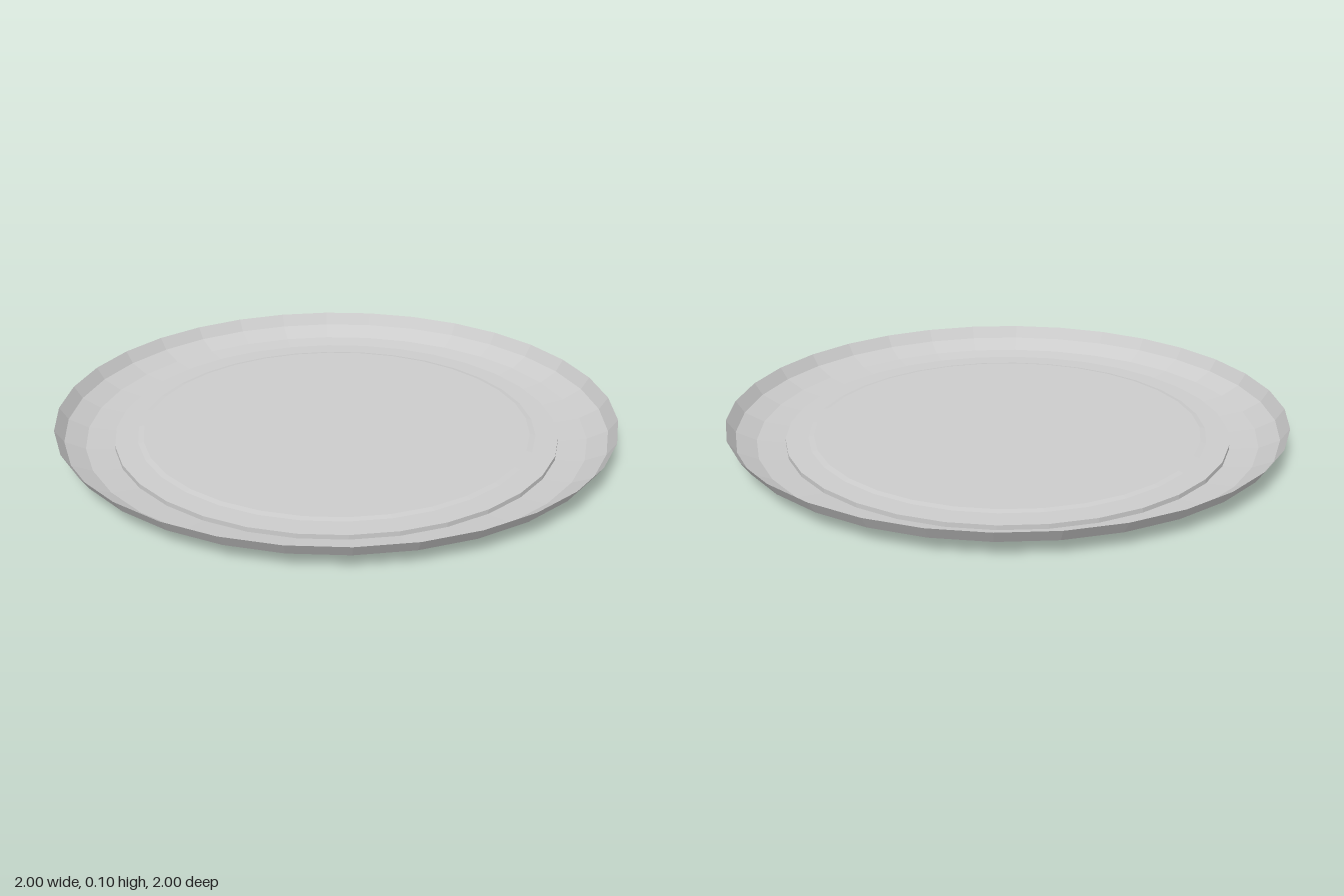
import * as THREE from 'three';

const SEGMENTS = 32;

// Turned part from [radius, height] pairs, listed from bottom to top
function turned(name, profile, side) {
  const points = profile.map(([r, y]) => new THREE.Vector2(r, y));
  const material = new THREE.MeshStandardMaterial({ color: 0xcccccc, flatShading: true, side });
  const mesh = new THREE.Mesh(new THREE.LatheGeometry(points, SEGMENTS), material);
  mesh.name = name;
  return mesh;
}

export function createModel() {
  const plate = new THREE.Group();
  plate.name = 'plate';

  // Solid base disc with a slightly raised centre
  plate.add(turned('base', [
    [0, 0], [0.8, 0], [0.8, 0.02], [0.72, 0.02], [0.7, 0.024], [0, 0.024],
  ], THREE.FrontSide));

  // Thin flared rim around the base
  plate.add(turned('rim', [
    [0.8, 0.004], [0.9, 0.02], [0.97, 0.055], [1, 0.1],
  ], THREE.DoubleSide));

  return plate;
}
